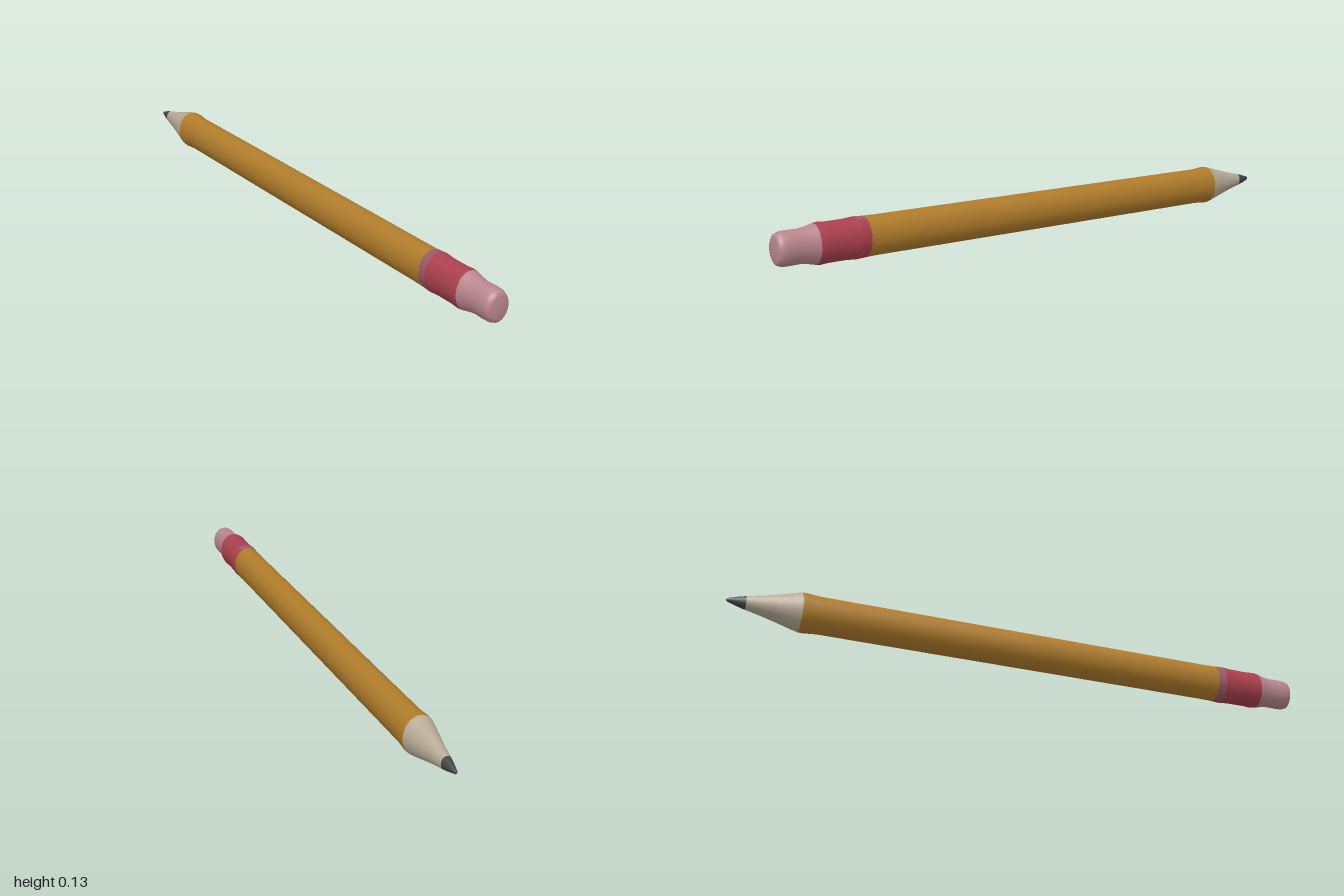
import * as THREE from 'three';

const mat = (name, color) => {
  const m = new THREE.MeshStandardMaterial({ color });
  m.name = name;
  return m;
};

export function createModel() {
  const group = new THREE.Group();
  group.name = 'pencil';

  const yellow = mat('ochrePaint', 0xb07c2b);
  const wood = mat('bareWood', 0xb8ab97);
  const lead = mat('graphite', 0x414645);
  const red = mat('redFerrule', 0xab404d);
  const mauve = mat('mauveBand', 0x9c5a68);
  const pink = mat('pinkEraser', 0xb9868f);

  // Turns a [radius, z] profile into an oval section lying along z
  const section = (name, material, profile, start = 0, length = Math.PI * 2) => {
    const points = profile.map(([r, z]) => new THREE.Vector2(r, z));
    const geo = new THREE.LatheGeometry(points, Math.max(8, Math.round(32 * length / (Math.PI * 2))), start, length);
    geo.rotateX(Math.PI / 2);
    geo.scale(0.8, 1, 1);
    geo.translate(0, 0.066, 0);
    const mesh = new THREE.Mesh(geo, material);
    mesh.name = name;
    group.add(mesh);
  };

  // Sharpened end
  section('leadTip', lead, [[0, -1], [0.006, -0.995], [0.014, -0.97], [0.022, -0.94]]);
  section('sharpenedWood', wood, [[0.022, -0.94], [0.033, -0.89], [0.046, -0.84], [0.06, -0.79], [0.065, -0.77]]);

  // Painted shaft with a slight swell beside the wood
  section('shaft', yellow, [[0.065, -0.77], [0.066, -0.755], [0.062, -0.71], [0.062, 0], [0.062, 0.66], [0.063, 0.70]]);

  // Ferrule, with a mauve edge around one side
  const edge = [[0.063, 0.70], [0.065, 0.73]];
  section('ferruleBand', mauve, edge, Math.PI * 0.85, Math.PI * 1.15);
  section('ferruleEdge', red, edge, 0, Math.PI * 0.85);
  section('ferrule', red, [[0.065, 0.73], [0.062, 0.77], [0.062, 0.83], [0.064, 0.855], [0.062, 0.87]]);

  // Rounded eraser
  section('eraser', pink, [[0.062, 0.87], [0.056, 0.895], [0.052, 0.92], [0.053, 0.96],
    [0.052, 0.98], [0.047, 0.993], [0.036, 0.999], [0, 1]]);

  return group;
}
